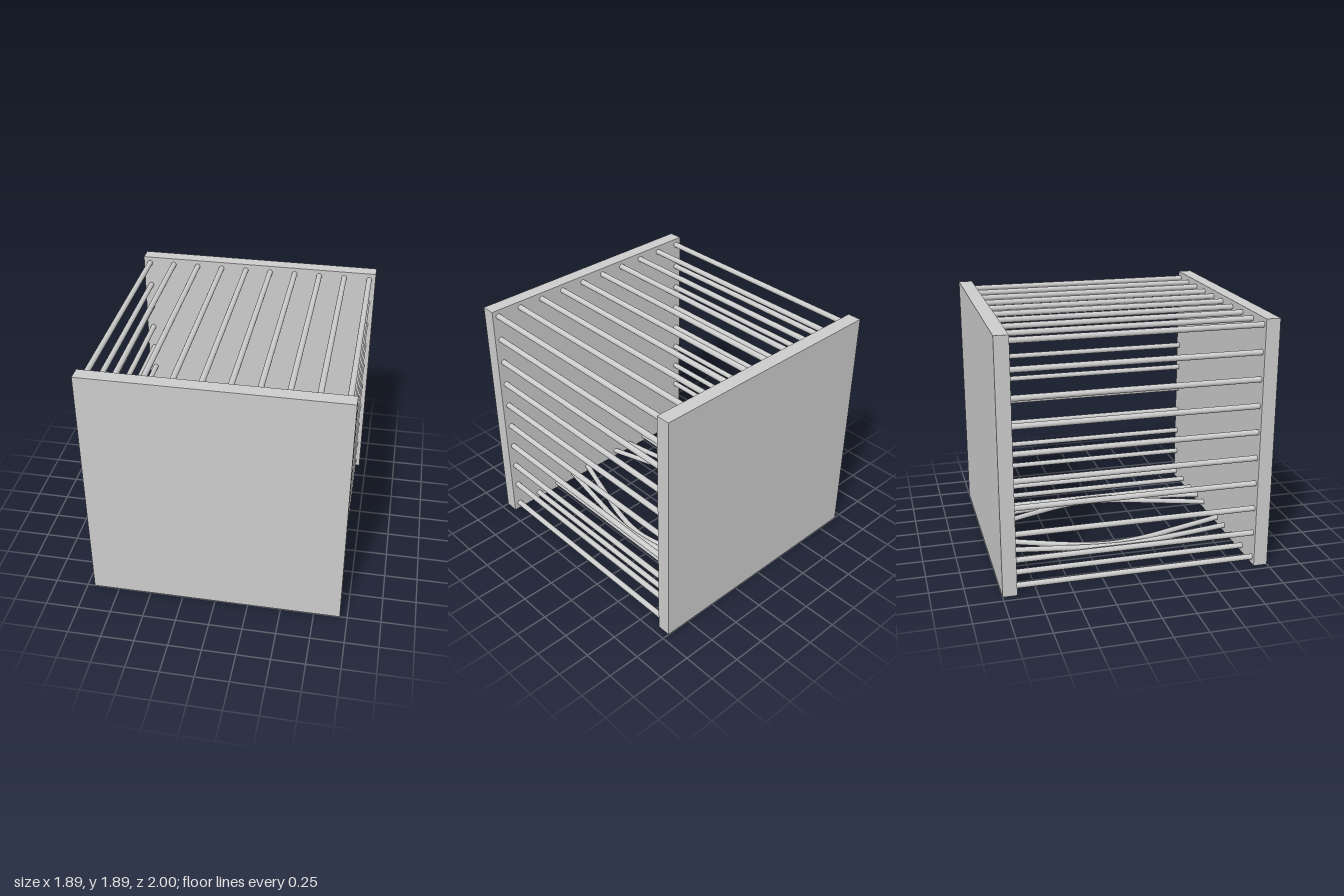
import * as THREE from 'three';

const HALF = 0.945, HEIGHT = 1.89, PLATE = 0.105;
const INNER = 1 - PLATE;      // z of the plates' inner faces
const REACH = INNER + 0.01;   // rods run slightly into the plates
const R = 0.021, SIDES = 20;

export function createModel() {
  const cage = new THREE.Group();
  cage.name = 'cage';
  const mat = new THREE.MeshStandardMaterial({ color: 0xcccccc });

  const add = (name, geometry, x, y, z) => {
    const mesh = new THREE.Mesh(geometry, mat);
    mesh.name = name;
    mesh.position.set(x, y, z);
    cage.add(mesh);
  };

  // Solid end plates
  const plate = new THREE.BoxGeometry(2 * HALF, HEIGHT, PLATE);
  add('frontPlate', plate, 0, HEIGHT / 2, 1 - PLATE / 2);
  add('backPlate', plate, 0, HEIGHT / 2, -1 + PLATE / 2);

  // Straight bars, ten per side and across the top
  const bar = new THREE.CylinderGeometry(R, R, 2 * REACH, SIDES).rotateX(Math.PI / 2);
  const low = 0.053, high = 1.84, wide = 0.895;
  for (let i = 0; i < 10; i++) {
    const t = i / 9;
    const y = low + (high - low) * t;
    add('leftBar', bar, wide, y, 0);
    add('rightBar', bar, -wide, y, 0);
    if (i > 0 && i < 9) add('topBar', bar, wide * (2 * t - 1), high, 0);
  }

  // Floor: two straight and two pried-apart bars on each half
  const bends = {
    outerBentBar: [[0.32, -REACH], [0.395, -0.48], [0.44, -0.2], [0.454, 0], [0.44, 0.2], [0.395, 0.48], [0.32, REACH]],
    innerBentBar: [[0.148, -REACH], [0.285, -0.57], [0.385, -0.28], [0.416, -0.08], [0.383, 0.18], [0.285, 0.51], [0.16, REACH]],
  };
  for (const side of [-1, 1]) {
    for (const k of [5, 7]) add('floorBar', bar, side * wide * k / 9, low, 0);
    for (const [name, points] of Object.entries(bends)) {
      const path = new THREE.CatmullRomCurve3(points.map(([x, z]) => new THREE.Vector3(side * x, 0, z)));
      add(name, new THREE.TubeGeometry(path, 48, R, SIDES), 0, low, 0);
    }
  }
  return cage;
}
